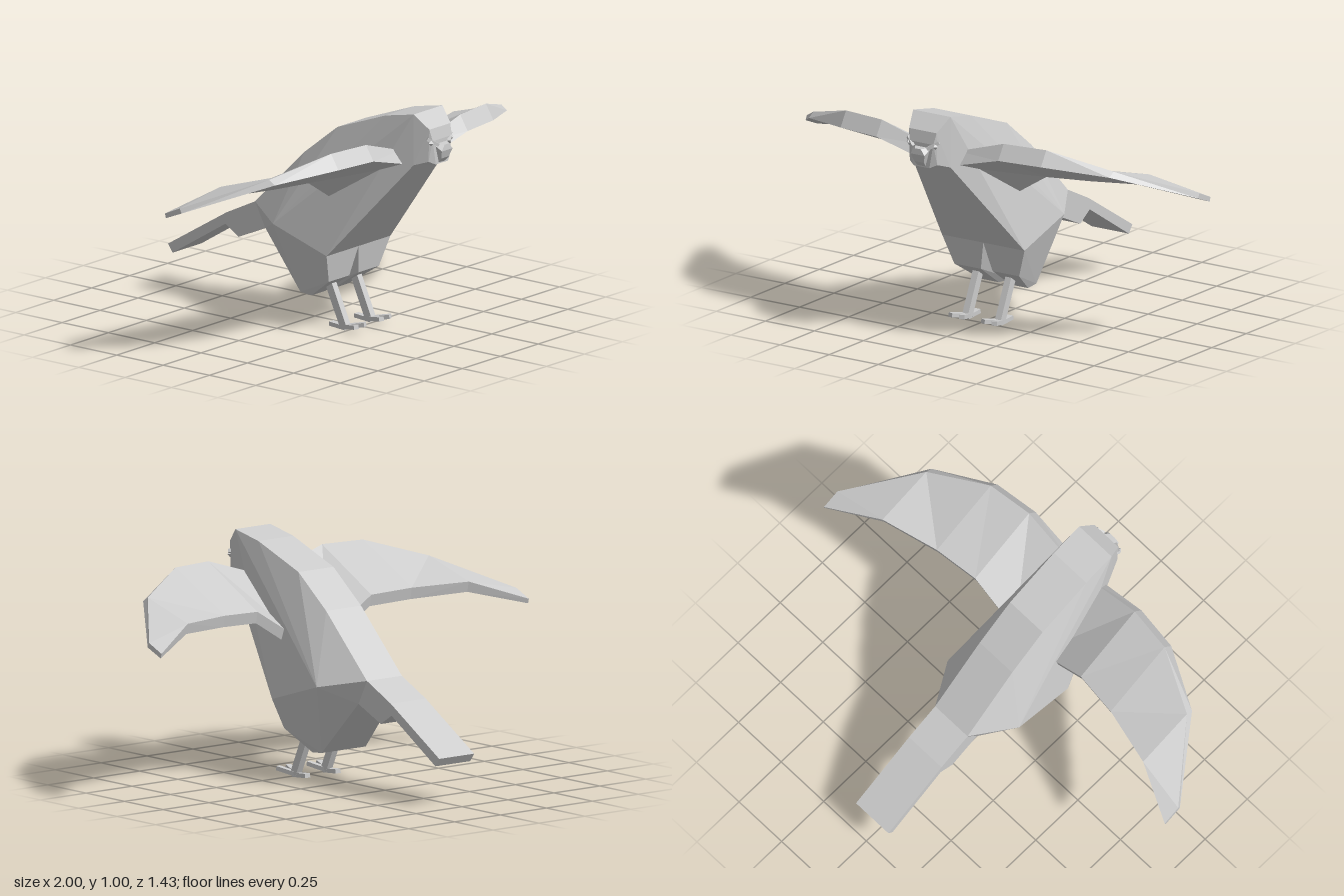
import * as THREE from 'three';
import { ConvexGeometry } from 'three/addons/geometries/ConvexGeometry.js';

const material = new THREE.MeshStandardMaterial({ color: 0xcccccc, flatShading: true });
const V = (x, y, z) => new THREE.Vector3(x, y, z);

function add(parent, name, geometry) {
  const mesh = new THREE.Mesh(geometry, material);
  mesh.name = name;
  parent.add(mesh);
  return mesh;
}

// Faceted solid around a few corner points [x, y, z]
const hull = (points) => new ConvexGeometry(points.map((p) => V(...p)));

// The given corners plus their mirror images across x = 0
const both = (points) => points.flatMap(([x, y, z]) => [[x, y, z], [-x, y, z]]);

// Square bar running from a to b
function bar(parent, name, a, b, width, height) {
  const mesh = add(parent, name, new THREE.BoxGeometry(width, height, a.distanceTo(b)));
  mesh.position.copy(a).lerp(b, 0.5);
  mesh.lookAt(b);
  return mesh;
}

// Wing lofted through four-cornered sections from root to tip
function wingGeometry(side) {
  // x, then y and z of: leading top, leading bottom, trailing bottom, trailing top
  const sections = [
    [0.07, 0.825, 0.52, 0.77, 0.56, 0.53, 0.215, 0.58, 0.205],
    [0.31, 0.9, 0.53, 0.835, 0.57, 0.68, 0.22, 0.73, 0.21],
    [0.51, 0.9, 0.505, 0.835, 0.545, 0.69, 0.195, 0.74, 0.185],
    [0.765, 0.82, 0.38, 0.8, 0.41, 0.7, 0.13, 0.745, 0.12],
    [1, 0.695, 0.09, 0.675, 0.1, 0.64, 0.015, 0.66, 0.01],
  ];
  const positions = [];
  const index = [];
  for (const [x, ...yz] of sections) {
    for (let k = 0; k < 4; k++) positions.push(side * x, yz[2 * k], yz[2 * k + 1]);
  }
  const quad = (a, b, c, d) =>
    side > 0 ? index.push(a, b, c, a, c, d) : index.push(a, c, b, a, d, c);
  for (let s = 0; s < sections.length - 1; s++) {
    for (let k = 0; k < 4; k++) {
      const a = s * 4 + k, b = s * 4 + ((k + 1) % 4);
      quad(a, b, b + 4, a + 4);
    }
  }
  const e = (sections.length - 1) * 4;
  quad(3, 2, 1, 0);
  quad(e, e + 1, e + 2, e + 3);
  const geometry = new THREE.BufferGeometry();
  geometry.setAttribute('position', new THREE.Float32BufferAttribute(positions, 3));
  geometry.setIndex(index);
  const flat = geometry.toNonIndexed();
  flat.computeVertexNormals();
  return flat;
}

export function createModel() {
  const bird = new THREE.Group();
  bird.name = 'bird';

  // Upper body: flat-topped back tapering into the wide belly
  add(bird, 'body', hull(both([
    [0.095, 1, 0.61], [0.095, 0.97, 0.46], [0.095, 0.875, 0.2], [0.095, 0.735, 0.02],
    [0.095, 0.475, -0.245], [0.095, 0.78, 0.61], [0.095, 0.78, 0.57],
    [0.21, 0.345, 0.235], [0.21, 0.435, -0.055],
  ])));

  // Face and beak
  add(bird, 'head', hull(both([
    [0.095, 1, 0.61], [0.095, 0.78, 0.61], [0.07, 0.94, 0.675], [0.06, 0.89, 0.685],
    [0.07, 0.8, 0.67], [0.04, 0.785, 0.685],
  ])));
  add(bird, 'beak', hull(both([
    [0.045, 0.875, 0.67], [0.015, 0.87, 0.712], [0.035, 0.845, 0.714],
    [0.025, 0.81, 0.702], [0.02, 0.79, 0.685],
  ])));

  // Tail: side outline pushed across the width
  const outline = [
    [-0.15, 0.47], [-0.245, 0.475], [-0.4, 0.4], [-0.715, 0.21], [-0.69, 0.175],
    [-0.405, 0.35], [-0.335, 0.305], [-0.19, 0.37],
  ];
  const tail = new THREE.ExtrudeGeometry(
    new THREE.Shape(outline.map(([z, y]) => new THREE.Vector2(-z, y))),
    { depth: 0.19, bevelEnabled: false },
  );
  tail.rotateY(Math.PI / 2);
  tail.translate(-0.095, 0, 0);
  add(bird, 'tail', tail);

  for (const side of [1, -1]) {
    const label = side > 0 ? 'left' : 'right';
    const P = (x, y, z) => V(side * x, y, z);

    add(bird, label + 'Wing', wingGeometry(side));

    // Thigh: half of the lower body, with a notch between the pair at the front
    add(bird, label + 'Thigh', hull([
      [0, 0.345, 0.235], [0.21, 0.345, 0.235], [0.21, 0.435, -0.055],
      [0.095, 0.475, -0.245], [0, 0.475, -0.245], [0.095, 0.37, -0.19], [0, 0.37, -0.19],
      [0.165, 0.22, 0.21], [0.03, 0.22, 0.21], [0.12, 0.13, 0.08], [0.03, 0.13, 0.08],
      [0.12, 0.135, 0.02], [0, 0.135, 0.02],
    ].map(([x, y, z]) => [side * x, y, z])));

    // Eye and slanted brow
    const eye = add(bird, label + 'Eye', new THREE.OctahedronGeometry(0.014));
    eye.position.copy(P(0.066, 0.882, 0.68));
    bar(bird, label + 'Brow', P(0.078, 0.9, 0.668), P(0.035, 0.87, 0.695), 0.014, 0.014);

    // Leg and three-toed foot
    const leg = new THREE.Group();
    leg.name = label + 'Leg';
    bird.add(leg);
    bar(leg, 'shin', P(0.083, 0.22, 0.14), P(0.083, 0.015, 0.232), 0.03, 0.036);
    bar(leg, 'outerToe', P(0.083, 0.012, 0.22), P(0.112, 0.031, 0.315), 0.024, 0.018);
    bar(leg, 'innerToe', P(0.083, 0.012, 0.22), P(0.054, 0.031, 0.315), 0.024, 0.018);
    bar(leg, 'backToe', P(0.083, 0.01, 0.24), P(0.083, 0.016, 0.155), 0.028, 0.018);
  }

  return bird;
}
